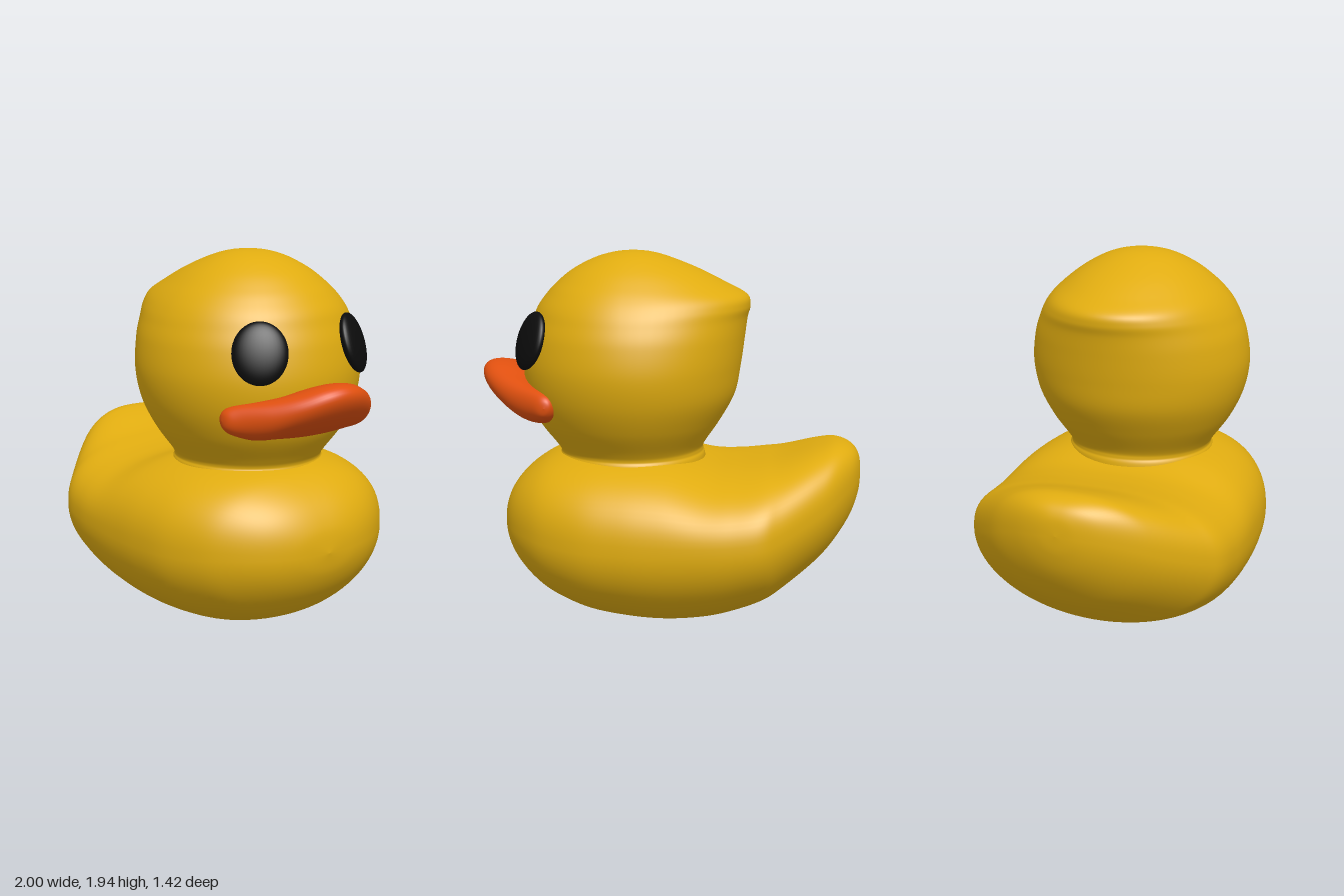
import * as THREE from 'three';

const yellow = new THREE.MeshStandardMaterial({ color: 0xe0ac10 });
const orange = new THREE.MeshStandardMaterial({ color: 0xe0500f });
const black = new THREE.MeshStandardMaterial({ color: 0x0c0c0c });

// Smooth interpolation through rows of numbers; returns t (0..1) -> row
function rowSampler(rows) {
  const columns = rows[0].map((_, k) =>
    new THREE.SplineCurve(rows.map((r, i) => new THREE.Vector2(i, r[k]))));
  return t => columns.map(c => c.getPoint(t).y);
}

// Closed skin through cross-sections: section(row, angle) gives [x, y, z]
function loft(name, rows, section, material, steps = 80, sides = 64) {
  const sample = rowSampler(rows), pos = [], index = [];
  for (let i = 0; i <= steps; i++) {
    const row = sample(i / steps);
    for (let j = 0; j < sides; j++) pos.push(...section(row, j / sides * Math.PI * 2));
  }
  for (let i = 0; i < steps; i++) {
    for (let j = 0; j < sides; j++) {
      const k = (j + 1) % sides;
      const a = i * sides + j, b = a + sides, c = (i + 1) * sides + k, d = i * sides + k;
      index.push(a, b, c, a, c, d);
    }
  }
  const geo = new THREE.BufferGeometry();
  geo.setAttribute('position', new THREE.Float32BufferAttribute(pos, 3));
  geo.setIndex(index);
  geo.computeVertexNormals();
  const mesh = new THREE.Mesh(geo, material);
  mesh.name = name;
  return mesh;
}

const power = (v, p) => Math.sign(v) * Math.pow(Math.abs(v), p);

export function createModel() {
  const duck = new THREE.Group();
  duck.name = 'duck';

  // Body and upturned tail: x, top, bottom, half width, height of widest line
  const body = [
    [-1, 0.79, 0.79, 0, 0.79],
    [-0.99, 0.88, 0.69, 0.1, 0.78],
    [-0.95, 0.935, 0.57, 0.22, 0.76],
    [-0.87, 0.96, 0.44, 0.36, 0.71],
    [-0.77, 0.943, 0.325, 0.47, 0.65],
    [-0.6, 0.89, 0.185, 0.615, 0.57],
    [-0.5, 0.87, 0.12, 0.68, 0.54],
    [-0.35, 0.852, 0.06, 0.705, 0.52],
    [-0.2, 0.855, 0.02, 0.712, 0.51],
    [0, 0.905, 0, 0.708, 0.5],
    [0.2, 0.92, 0.01, 0.695, 0.5],
    [0.4, 0.915, 0.045, 0.66, 0.5],
    [0.58, 0.885, 0.115, 0.58, 0.51],
    [0.7, 0.83, 0.195, 0.48, 0.52],
    [0.8, 0.745, 0.3, 0.34, 0.52],
    [0.86, 0.64, 0.41, 0.18, 0.52],
    [0.88, 0.52, 0.52, 0, 0.52],
  ];
  duck.add(loft('body', body, ([x, top, bottom, w, mid], a) => {
    const s = Math.sin(a), c = Math.cos(a);
    const p = s > 0 ? 0.8 : 1; // fuller shoulders above the widest line
    return [x, mid + (s > 0 ? top - mid : mid - bottom) * power(s, p), Math.max(w, 0) * power(c, p)];
  }, yellow, 112, 80));

  // Head and neck with a tuft at the back: y, back x, front x, half width
  const head = [
    [0.78, -0.19, 0.6, 0.4],
    [0.87, -0.18, 0.59, 0.39],
    [0.9, -0.17, 0.585, 0.38],
    [0.94, -0.18, 0.61, 0.4],
    [1.06, -0.26, 0.7, 0.485],
    [1.2, -0.335, 0.755, 0.55],
    [1.35, -0.365, 0.772, 0.577],
    [1.5, -0.385, 0.75, 0.56],
    [1.6, -0.398, 0.715, 0.525],
    [1.66, -0.412, 0.69, 0.495],
    [1.715, -0.395, 0.65, 0.455],
    [1.77, -0.295, 0.6, 0.4],
    [1.84, -0.155, 0.515, 0.31],
    [1.9, -0.005, 0.4, 0.2],
    [1.93, 0.1, 0.295, 0.1],
    [1.94, 0.2, 0.2, 0],
  ];
  duck.add(loft('head', head, ([y, back, front, w], a) => {
    const s = -Math.sin(a);
    return [0.2 + s * (s > 0 ? front - 0.2 : 0.2 - back), y, w * Math.cos(a)];
  }, yellow, 112, 72));

  // Upturned beak, lofted side to side: z, centre x, centre y, length, thickness, tilt
  const half = [
    [0.44, 0.595, 1.18, 0, 0, 0.35],
    [0.43, 0.6, 1.18, 0.035, 0.04, 0.35],
    [0.39, 0.617, 1.178, 0.075, 0.069, 0.37],
    [0.3, 0.68, 1.176, 0.14, 0.088, 0.4],
    [0.2, 0.735, 1.19, 0.195, 0.092, 0.45],
    [0.1, 0.77, 1.206, 0.23, 0.1, 0.5],
  ];
  const beak = [
    ...half.map(([z, ...r]) => [-z, ...r]),
    [0, 0.782, 1.212, 0.24, 0.103, 0.52],
    ...half.slice().reverse(),
  ];
  duck.add(loft('beak', beak, ([z, x, y, len, thick, tilt], a) => {
    const u = len * Math.cos(a), v = -thick * Math.sin(a);
    const c = Math.cos(tilt), s = Math.sin(tilt);
    return [x + u * c - v * s, y + u * s + v * c, z];
  }, orange, 84, 48));

  // Flat oval eyes facing outward and slightly upward
  for (const [side, name] of [[1, 'rightEye'], [-1, 'leftEye']]) {
    const eye = new THREE.Mesh(new THREE.SphereGeometry(1, 40, 28), black);
    eye.name = name;
    eye.scale.set(0.045, 0.152, 0.134);
    eye.rotation.set(0, -side * 0.6, 0.3, 'YXZ');
    eye.position.set(0.688, 1.5, side * 0.286);
    duck.add(eye);
  }
  return duck;
}
